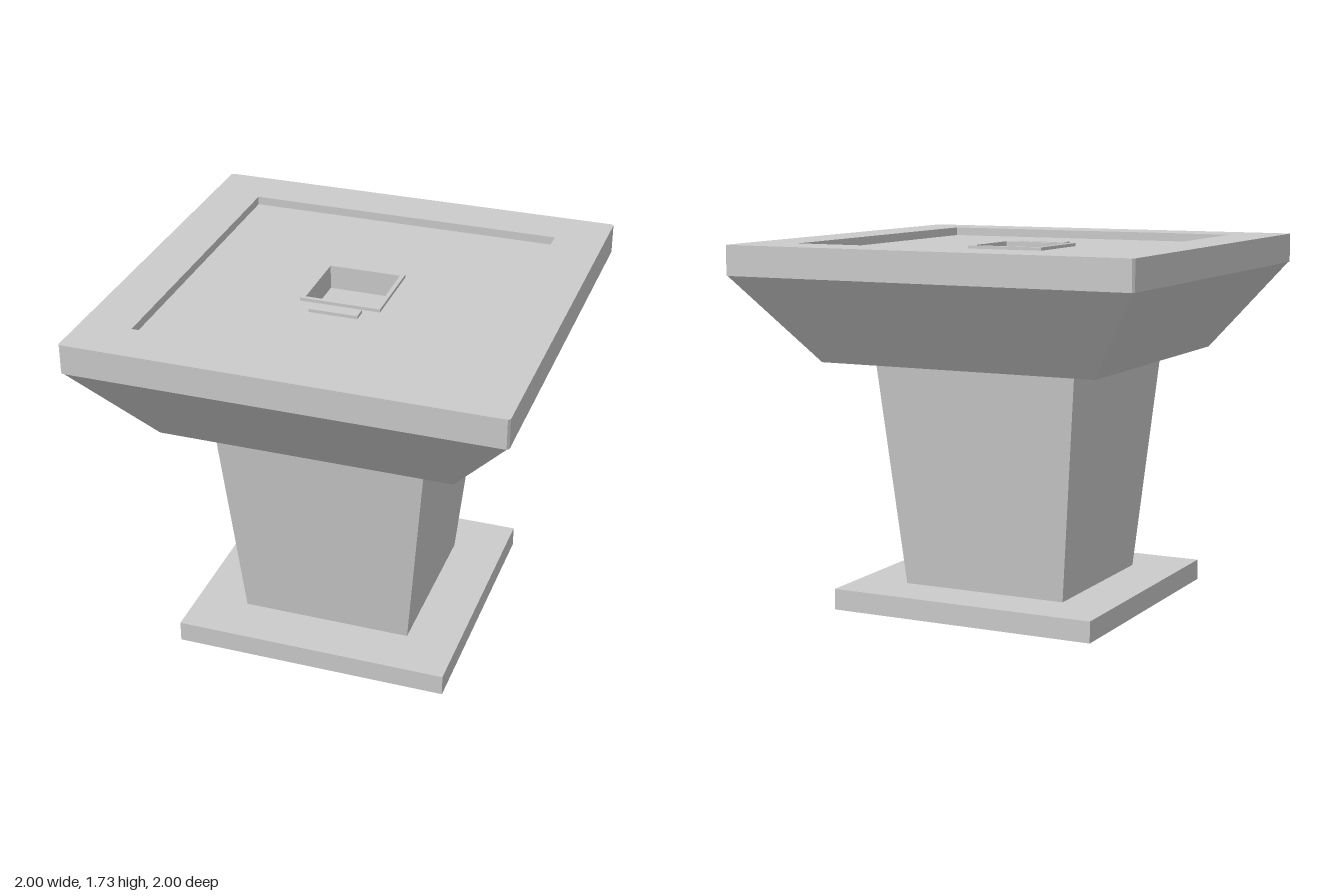
import * as THREE from 'three';

const material = new THREE.MeshStandardMaterial({ color: 0xcccccc, flatShading: true });

// Square outline with half-width h and corners cut by c
function square(h, c = 0, Type = THREE.Shape) {
  const k = h - c;
  const pts = c
    ? [[k, -h], [h, -k], [h, k], [k, h], [-k, h], [-h, k], [-h, -k], [-k, -h]]
    : [[h, -h], [h, h], [-h, h], [-h, -h]];
  return new Type(pts.map(([x, y]) => new THREE.Vector2(x, y)));
}

// Square plate between two heights with a square opening
function ring(outer, inner, y0, y1, cut = 0) {
  const shape = square(outer, cut);
  shape.holes.push(square(inner, 0, THREE.Path));
  const geo = new THREE.ExtrudeGeometry(shape, { depth: y1 - y0, bevelEnabled: false });
  return geo.rotateX(-Math.PI / 2).translate(0, y0, 0);
}

// Square block whose half-width changes from bottom to top
function taper(bottom, top, y0, y1) {
  const geo = new THREE.BoxGeometry(2, y1 - y0, 2).translate(0, (y0 + y1) / 2, 0);
  const p = geo.attributes.position;
  for (let i = 0; i < p.count; i++) {
    const h = p.getY(i) > (y0 + y1) / 2 ? top : bottom;
    p.setX(i, p.getX(i) * h);
    p.setZ(i, p.getZ(i) * h);
  }
  geo.computeVertexNormals();
  return geo;
}

export function createModel() {
  const group = new THREE.Group();
  const add = (name, geo) => {
    const mesh = new THREE.Mesh(geo, material);
    mesh.name = name;
    group.add(mesh);
  };

  // Foot, shaft and flared head
  add('basePlate', taper(0.66, 0.66, 0, 0.1));
  add('column', taper(0.41, 0.51, 0.1, 1.18));
  add('flaredCapital', taper(0.69, 0.993, 1.18, 1.59));

  // Top slab with a shallow tray; the pit in the middle goes down to the head
  add('topRim', ring(1, 0.762, 1.59, 1.73, 0.01));
  add('trayFloor', ring(0.762, 0.17, 1.59, 1.69));

  // Raised frame around the pit and the small plaque in front of it
  add('pitFrame', ring(0.19, 0.17, 1.69, 1.705));
  add('plaque', new THREE.BoxGeometry(0.23, 0.015, 0.065).translate(0, 1.6975, 0.253));

  return group;
}
